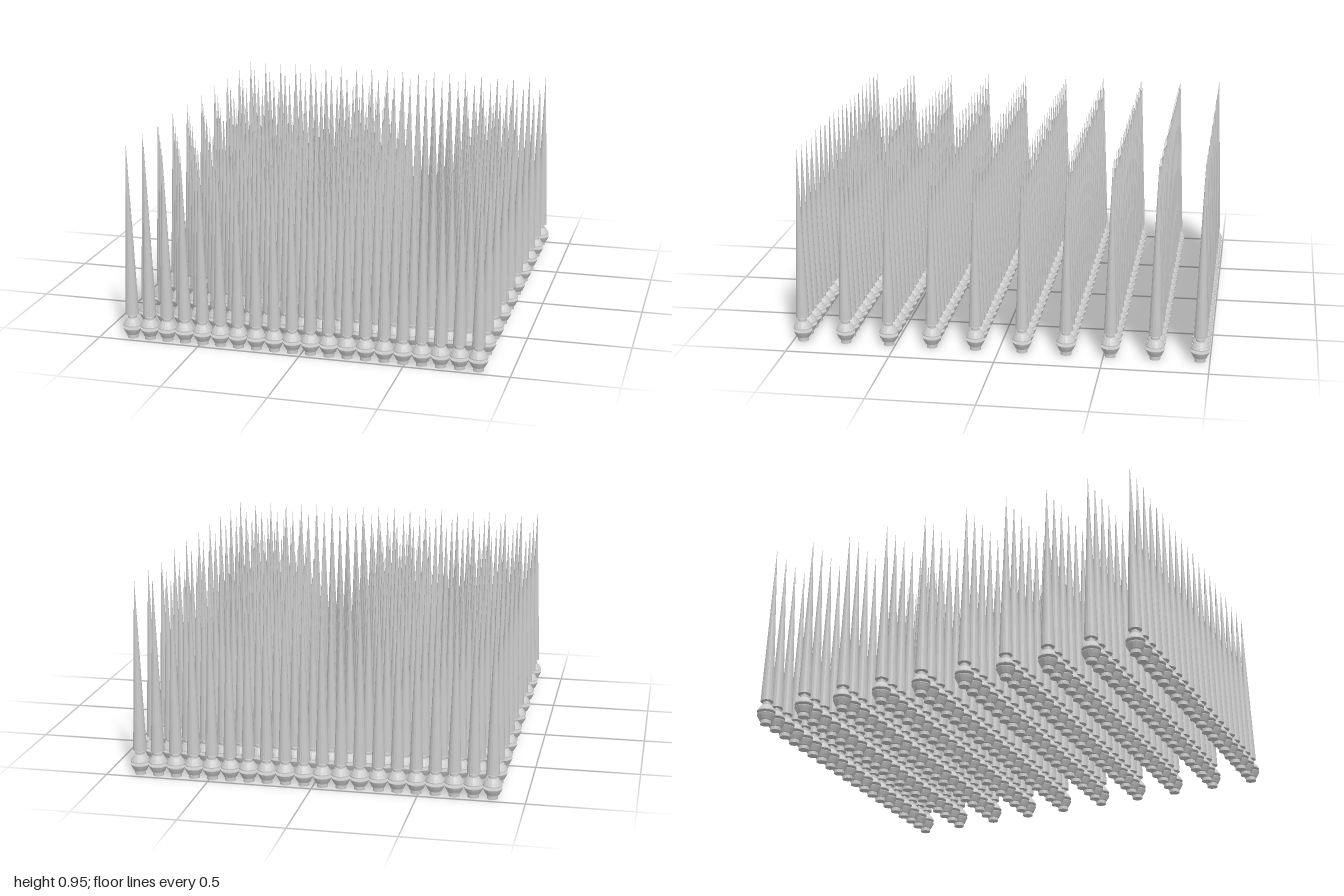
import * as THREE from 'three';

const SIDES = 16;

// Turn a [radius, height] profile around the vertical axis
function turned(profile) {
  return new THREE.LatheGeometry(profile.map(([r, y]) => new THREE.Vector2(r, y)), SIDES);
}

export function createModel() {
  const model = new THREE.Group();
  model.name = 'spikeField';
  const material = new THREE.MeshStandardMaterial({ color: 0xcccccc, flatShading: true });

  const parts = {
    // foot and lower half of the bead
    lowerBead: turned([[0, 0], [0.026, 0], [0.026, 0.018], [0.031, 0.02], [0.04, 0.037],
      [0.045, 0.048], [0.045, 0.051], [0, 0.051]]),
    // slim pin joining the bead halves and the spike
    pin: turned([[0.01, 0.045], [0.01, 0.125]]),
    // upper half of the bead with its collar
    upperBead: turned([[0, 0.064], [0.045, 0.064], [0.045, 0.069], [0.037, 0.083],
      [0.026, 0.098], [0.021, 0.1], [0.021, 0.112], [0, 0.112]]),
    // long tapering spike
    spike: turned([[0, 0.12], [0.032, 0.12], [0.0005, 0.955], [0, 0.955]]),
  };

  // Ten rows of twenty, with a slightly wider aisle in the middle
  const columns = 20, pitch = 0.0889;
  const rowDistances = [0.112, 0.322, 0.532, 0.743, 0.954];
  for (const side of [-1, 1]) {
    for (const distance of rowDistances) {
      const row = new THREE.Group();
      row.name = 'row';
      row.position.z = side * distance;
      for (let i = 0; i < columns; i++) {
        const stake = new THREE.Group();
        stake.name = 'stake';
        stake.position.x = (i - (columns - 1) / 2) * pitch;
        for (const [name, geometry] of Object.entries(parts)) {
          const mesh = new THREE.Mesh(geometry, material);
          mesh.name = name;
          stake.add(mesh);
        }
        row.add(stake);
      }
      model.add(row);
    }
  }
  return model;
}
